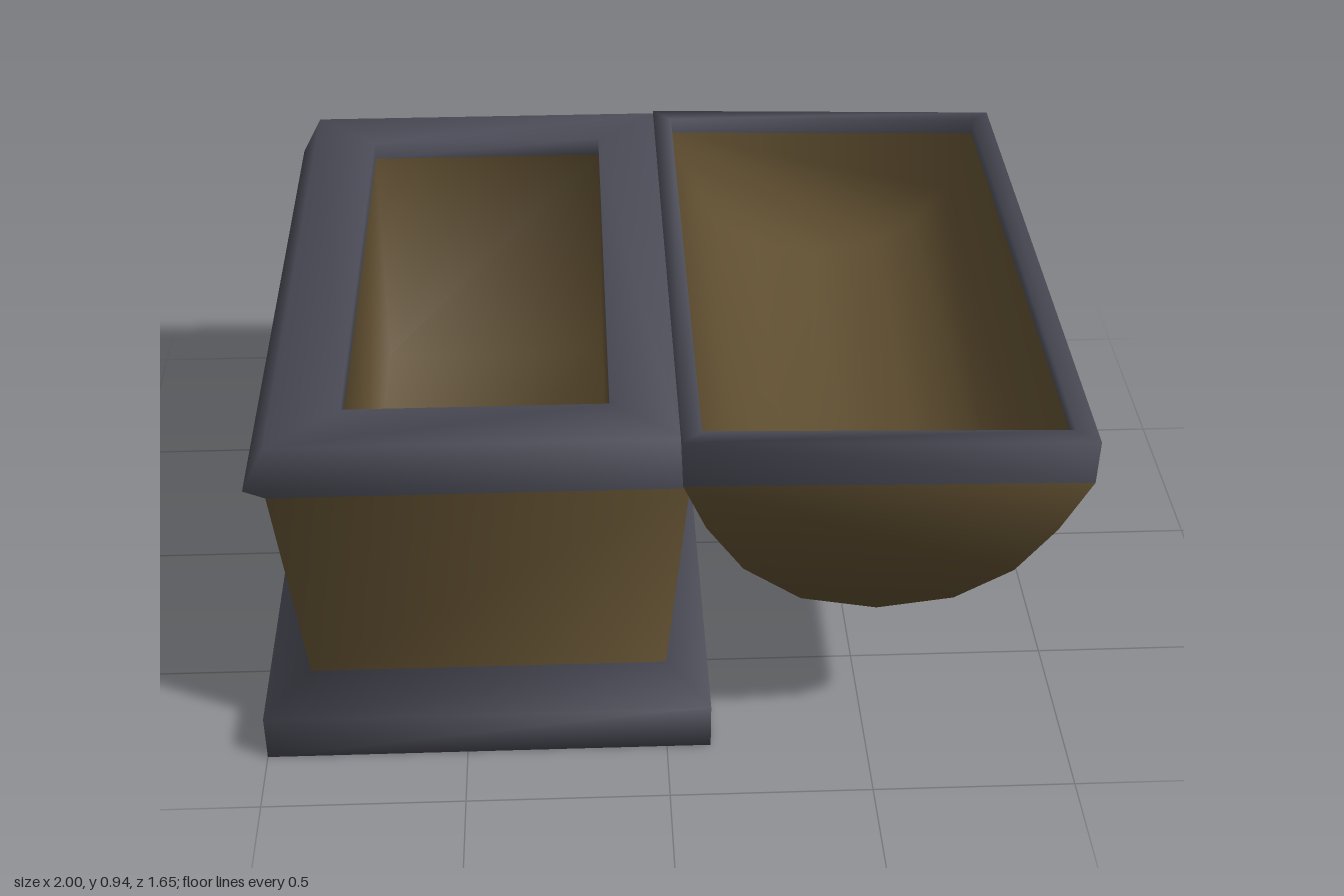
import * as THREE from 'three';

const steel = new THREE.MeshStandardMaterial({ color: 0x4a4a56 });
steel.name = 'dark steel';
const wood = new THREE.MeshStandardMaterial({ color: 0x5f4e30 });
wood.name = 'brown wood';
const STEEL = 0, WOOD = 1;

// Collects points and coloured polygons; shared points give soft normals
function surface() {
  const points = [], faces = [[], []];
  return {
    add(x, y, z) { return points.push(new THREE.Vector3(x, y, z)) - 1; },
    face(colour, ids) {
      for (let i = 1; i < ids.length - 1; i++) faces[colour].push(ids[0], ids[i], ids[i + 1]);
    },
    mesh(name) {
      const g = new THREE.BufferGeometry().setFromPoints(points);
      g.setIndex([...faces[STEEL], ...faces[WOOD]]);
      g.addGroup(0, faces[STEEL].length, STEEL);
      g.addGroup(faces[STEEL].length, faces[WOOD].length, WOOD);
      g.computeVertexNormals();
      const m = new THREE.Mesh(g, [steel, wood]);
      m.name = name;
      return m;
    },
  };
}

// Chest box: rectangular rings from the foot, up over the rim, down to the floor
function createChest() {
  const s = surface();
  // x min, x max, z min, z max, y, colour of the band below this ring
  const rings = [
    [-1, 0.11, -0.825, 0.825, 0, STEEL],
    [-1, 0.11, -0.825, 0.825, 0.125, STEEL],
    [-0.88, 0, -0.745, 0.75, 0.215, STEEL],
    [-0.94, 0.055, -0.755, 0.755, 0.755, WOOD],
    [-0.98, 0.07, -0.825, 0.82, 0.825, STEEL],
    [-0.925, 0.035, -0.82, 0.8, 0.93, STEEL],
    [-0.76, -0.13, -0.67, 0.65, 0.93, STEEL],
    [-0.76, -0.13, -0.67, 0.65, 0.88, STEEL],
    [-0.76, -0.13, -0.67, 0.65, 0.22, WOOD],
  ];
  const loops = rings.map(([x0, x1, z0, z1, y]) =>
    [[x0, z1], [x1, z1], [x1, z0], [x0, z0]].map(([x, z]) => s.add(x, y, z)));
  for (let r = 1; r < loops.length; r++) {
    const a = loops[r - 1], b = loops[r];
    for (let i = 0; i < 4; i++) {
      const j = (i + 1) % 4;
      s.face(rings[r][5], [a[i], a[j], b[j], b[i]]);
    }
  }
  s.face(WOOD, [...loops[0]].reverse()); // underside
  s.face(WOOD, loops[loops.length - 1]); // floor
  return s.mesh('chest');
}

// Open lid: hollow half barrel lying on its back beside the chest
function createLid() {
  const s = surface();
  const outer = [[0.03, 0.935], [0.035, 0.812], [0.09, 0.69], [0.18, 0.565], [0.32, 0.47],
    [0.505, 0.435], [0.69, 0.46], [0.83, 0.54], [0.925, 0.66], [0.998, 0.795], [1, 0.91]];
  const inner = [[0.08, 0.933], [0.08, 0.89], [0.13, 0.715], [0.21, 0.605], [0.335, 0.52],
    [0.505, 0.485], [0.675, 0.51], [0.8, 0.58], [0.885, 0.685], [0.95, 0.87], [0.95, 0.912]];
  const row = (profile, z) => profile.map(([x, y]) => s.add(x, y, z));
  const of = row(outer, 0.825), ob = row(outer, -0.825);
  const nf = row(inner, 0.775), nb = row(inner, -0.775);
  const last = outer.length - 1;

  // Curved shells
  for (let i = 0; i < last; i++) {
    const colour = i === 0 || i === last - 1 ? STEEL : WOOD;
    s.face(colour, [of[i], ob[i], ob[i + 1], of[i + 1]]);
    s.face(colour, [nf[i], nf[i + 1], nb[i + 1], nb[i]]);
  }
  // End walls: steel band above a wooden half round
  const end = (p, flip) => {
    const band = [p[0], p[1], p[last - 1], p[last]], round = p.slice(1, last);
    s.face(STEEL, flip ? band.reverse() : band);
    s.face(WOOD, flip ? round.reverse() : round);
  };
  end(of, false);
  end(ob, true);
  end(nf, true);
  end(nb, false);
  // Lip around the opening
  s.face(STEEL, [of[0], nf[0], nb[0], ob[0]]);
  s.face(STEEL, [nf[last], of[last], ob[last], nb[last]]);
  s.face(STEEL, [of[0], of[last], nf[last], nf[0]]);
  s.face(STEEL, [nb[0], nb[last], ob[last], ob[0]]);
  return s.mesh('openLid');
}

export function createModel() {
  const model = new THREE.Group();
  model.name = 'openChest';
  model.add(createChest(), createLid());
  return model;
}
